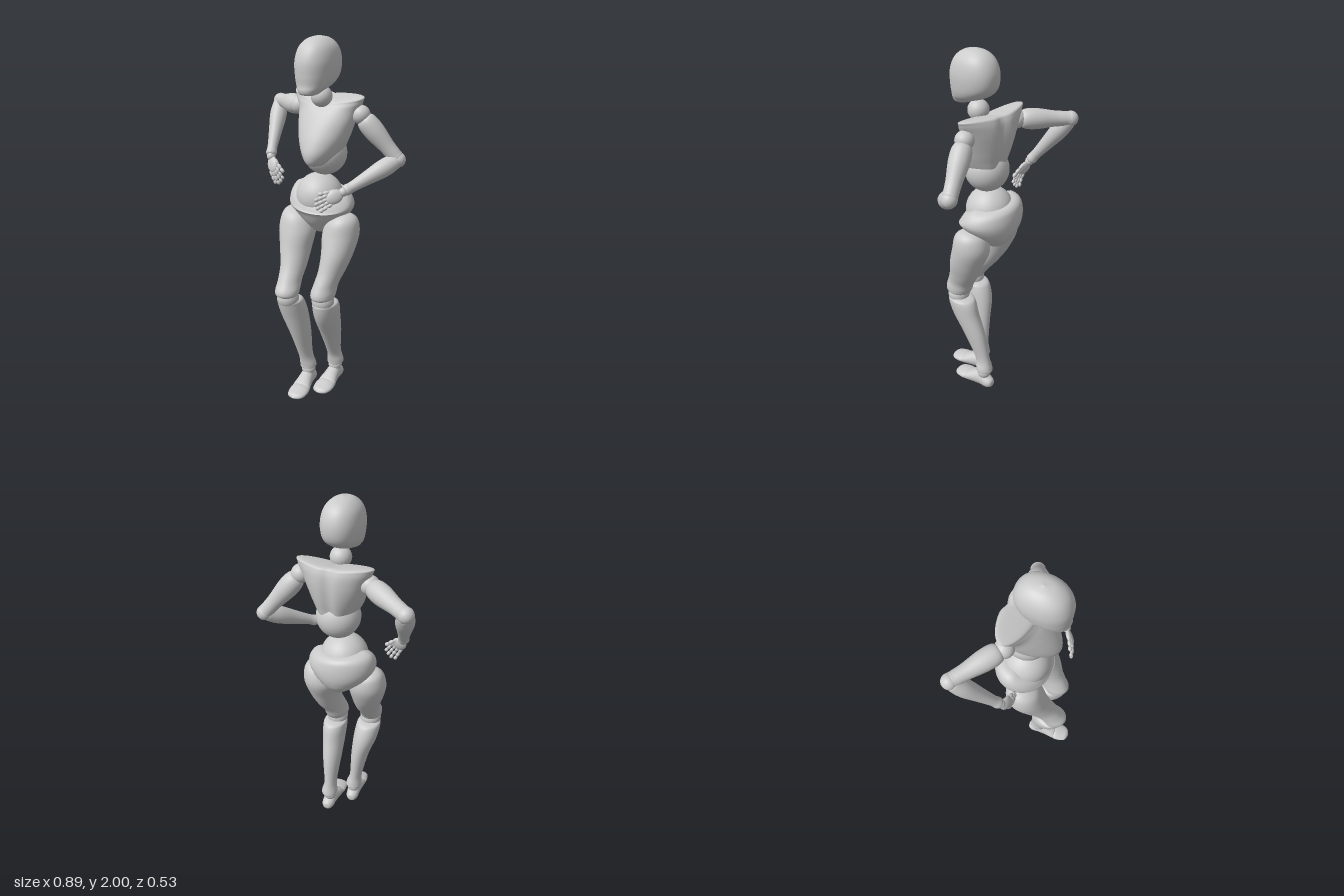
import * as THREE from 'three';

const material = new THREE.MeshStandardMaterial({ color: 0xcccccc });
const vec = (p) => new THREE.Vector3(...p);

// Smooth closed skin through elliptical sections [cx, y, cz, rx, rz], listed upward.
// power > 2 squares the ellipse; rule(point) may move each vertex.
function loft(sections, { power = 2, rule, sides = 36 } = {}) {
  const centres = new THREE.CatmullRomCurve3(sections.map(([x, y, z]) => vec([x, y, z])), false, 'catmullrom', 0.5);
  const radii = new THREE.CatmullRomCurve3(sections.map((s) => vec([s[3], s[4], 0])), false, 'catmullrom', 0.5);
  const rows = (sections.length - 1) * 6;
  const positions = [], index = [];
  const bend = (v) => Math.sign(v) * Math.abs(v) ** (2 / power);
  for (let i = 0; i <= rows; i++) {
    const c = centres.getPoint(i / rows), r = radii.getPoint(i / rows);
    for (let j = 0; j < sides; j++) {
      const a = (j / sides) * Math.PI * 2;
      const p = vec([c.x + Math.max(0, r.x) * bend(Math.cos(a)), c.y, c.z + Math.max(0, r.y) * bend(Math.sin(a))]);
      if (rule) rule(p);
      positions.push(p.x, p.y, p.z);
      if (i < rows) {
        const k = i * sides, n = (j + 1) % sides;
        index.push(k + j, k + sides + j, k + n, k + n, k + sides + j, k + sides + n);
      }
    }
  }
  const g = new THREE.BufferGeometry();
  g.setAttribute('position', new THREE.Float32BufferAttribute(positions, 3));
  g.setIndex(index);
  g.computeVertexNormals();
  return g;
}

function add(parent, name, geometry) {
  const mesh = new THREE.Mesh(geometry, material);
  mesh.name = name;
  parent.add(mesh);
  return mesh;
}

function ball(parent, name, centre, radius, scale = [1, 1, 1], detail = 28) {
  const mesh = add(parent, name, new THREE.SphereGeometry(radius, detail, Math.round(detail * 0.7)));
  mesh.position.set(...centre);
  mesh.scale.set(...scale);
  return mesh;
}

// Round limb from a to b; profile holds [fraction of length, radius].
function limb(parent, name, a, b, profile) {
  const start = vec(a), dir = vec(b).sub(start), length = dir.length();
  const mesh = add(parent, name, loft(profile.map(([t, r]) => [0, t * length, 0, r, r]), { sides: 28 }));
  mesh.position.copy(start);
  mesh.quaternion.setFromUnitVectors(vec([0, 1, 0]), dir.normalize());
}

const upperArmProfile = [[0.06, 0], [0.08, 0.036], [0.17, 0.052], [0.38, 0.054], [0.7, 0.042], [0.9, 0.039], [0.96, 0.036], [0.99, 0]];
const forearmProfile = [[0, 0], [0.02, 0.034], [0.12, 0.044], [0.3, 0.047], [0.6, 0.036], [0.85, 0.028], [0.95, 0.03], [0.99, 0.024], [1, 0]];

// Local frame of a hand: x to the thumb side, y along the fingers, z = curl * palm side.
function addHand(parent, side, wrist, fingersTo, thumbTo, curl) {
  const hand = new THREE.Group();
  hand.name = side + 'Hand';
  const y = vec(fingersTo).normalize();
  const x = vec(thumbTo).addScaledVector(y, -vec(thumbTo).dot(y)).normalize();
  hand.quaternion.setFromRotationMatrix(new THREE.Matrix4().makeBasis(x, y, x.clone().cross(y)));
  hand.position.set(...wrist);
  parent.add(hand);
  ball(hand, 'wrist', [0, 0.005, 0], 0.024);
  ball(hand, 'palm', [0, 0.055, 0], 1, [0.036, 0.048, 0.017]);
  // A chain of rounded finger joints that bends toward the palm
  const finger = (name, px, py, lean, lengths, r, bendStep) => {
    let p = vec([px, py, 0]), bend = 0.1;
    lengths.forEach((l) => {
      bend += bendStep;
      const d = vec([Math.sin(lean), Math.cos(lean) * Math.cos(bend), curl * Math.sin(bend)]).normalize();
      const joint = ball(hand, name, p.clone().addScaledVector(d, l / 2).toArray(), 1, [r, l * 0.6, r], 14);
      joint.quaternion.setFromUnitVectors(vec([0, 1, 0]), d);
      p.addScaledVector(d, l);
    });
  };
  [0.9, 1, 1.05, 0.95].forEach((s, i) => {
    const k = 1.5 - i;
    finger('finger', k * 0.017, 0.088 - Math.abs(k) * 0.003, k * 0.06, [0.034 * s, 0.028 * s, 0.022 * s], 0.0095, 0.16);
  });
  finger('thumb', 0.022, 0.03, 0.3, [0.04, 0.032, 0.026], 0.011, 0.05);
}

function addArm(parent, side, shoulder, elbow, wrist, fingersTo, thumbTo, curl) {
  const arm = new THREE.Group();
  arm.name = side + 'Arm';
  parent.add(arm);
  ball(arm, 'shoulderJoint', shoulder, 0.05);
  limb(arm, 'upperArm', shoulder, elbow, upperArmProfile);
  ball(arm, 'elbowJoint', elbow, 0.041);
  limb(arm, 'forearm', elbow, wrist, forearmProfile);
  addHand(arm, side, wrist, fingersTo, thumbTo, curl);
}

function addLeg(parent, side, thigh, knee, shin, ankle, footTurn) {
  const leg = new THREE.Group();
  leg.name = side + 'Leg';
  parent.add(leg);
  add(leg, 'thigh', loft(thigh));
  ball(leg, 'kneeJoint', knee, 0.062);
  add(leg, 'shin', loft(shin));
  ball(leg, 'ankleJoint', ankle, 0.04);
  // Foot sections run heel to toe: [x, distance, -height, half width, half height]
  const foot = new THREE.Group();
  foot.name = side + 'Foot';
  foot.position.set(ankle[0], 0, ankle[2]);
  foot.rotation.y = footTurn;
  leg.add(foot);
  const flatSole = { rule: (p) => { p.z = Math.min(p.z, -0.004); } };
  add(foot, 'instep', loft([
    [0, -0.066, -0.035, 0, 0], [0, -0.06, -0.035, 0.022, 0.022], [0, -0.035, -0.036, 0.036, 0.036],
    [0, 0.01, -0.045, 0.039, 0.05], [0.002, 0.06, -0.036, 0.045, 0.043],
    [0.004, 0.105, -0.026, 0.053, 0.032], [0.004, 0.115, -0.024, 0.045, 0.024], [0.004, 0.118, -0.024, 0, 0],
  ], flatSole).rotateX(Math.PI / 2));
  add(foot, 'toes', loft([
    [0.004, 0.105, -0.022, 0, 0], [0.004, 0.108, -0.022, 0.045, 0.022], [0.004, 0.125, -0.022, 0.056, 0.027],
    [0.004, 0.165, -0.018, 0.053, 0.022], [0.002, 0.195, -0.015, 0.038, 0.015], [0.002, 0.21, -0.012, 0, 0],
  ], flatSole).rotateX(Math.PI / 2));
}

export function createModel() {
  const model = new THREE.Group();
  model.name = 'posedMannequin';

  // Head: round skull running forward into a narrow chin
  add(model, 'head', loft([
    [0.043, 1.712, 0.125, 0, 0], [0.043, 1.718, 0.122, 0.042, 0.04], [0.043, 1.738, 0.1, 0.062, 0.073],
    [0.043, 1.765, 0.063, 0.083, 0.108], [0.043, 1.81, 0.04, 0.097, 0.135], [0.043, 1.88, 0.034, 0.102, 0.14],
    [0.043, 1.945, 0.032, 0.087, 0.116], [0.043, 1.985, 0.03, 0.05, 0.068], [0.043, 2, 0.03, 0, 0],
  ], { power: 2.2, sides: 48 }));
  ball(model, 'neck', [0.045, 1.695, 0.008], 0.056);

  // Chest shell: V-shaped, raised shoulder tips, lower neckline, groove along the spine
  add(model, 'chest', loft([
    [0.045, 1.335, 0.045, 0, 0], [0.045, 1.348, 0.035, 0.045, 0.08], [0.045, 1.4, 0, 0.092, 0.137],
    [0.042, 1.47, -0.02, 0.13, 0.139], [0.04, 1.55, -0.045, 0.157, 0.126], [0.04, 1.62, -0.067, 0.177, 0.106],
    [0.037, 1.66, -0.075, 0.203, 0.088], [0.037, 1.68, -0.075, 0.19, 0.068], [0.037, 1.685, -0.075, 0, 0],
  ], {
    sides: 56,
    rule: (p) => {
      const top = THREE.MathUtils.smoothstep(p.y, 1.6, 1.68), dx = p.x - 0.037;
      const back = THREE.MathUtils.smoothstep(-p.z, 0.08, 0.15);
      p.y += top * (0.12 * Math.abs(dx) - 0.04 * dx - 0.2 * (p.z + 0.075));
      p.z += 0.018 * back * Math.exp(-((dx / 0.03) ** 2));
    },
  }));
  ball(model, 'waist', [0.035, 1.388, -0.043], 0.118);
  ball(model, 'abdomen', [0.005, 1.145, -0.035], 0.13);

  // Pelvis shell: tilted sideways, open dip in front of the abdomen
  add(model, 'pelvis', loft([
    [0.01, 0.932, -0.06, 0, 0], [0.01, 0.945, -0.06, 0.034, 0.055], [0.01, 1, -0.062, 0.1, 0.112],
    [0.012, 1.05, -0.058, 0.152, 0.14], [0.01, 1.1, -0.05, 0.184, 0.155], [0.01, 1.15, -0.05, 0.183, 0.15],
    [0.01, 1.185, -0.05, 0.158, 0.136], [0.01, 1.2, -0.05, 0.11, 0.1], [0.01, 1.2, -0.05, 0, 0],
  ], {
    sides: 48,
    rule: (p) => {
      const top = THREE.MathUtils.smoothstep(p.y, 1.06, 1.18);
      p.y -= top * (0.14 * p.x + 0.07 * Math.max(0, (p.z + 0.05) / 0.15));
    },
  }));

  addArm(model, 'left', [0.225, 1.605, -0.085], [0.405, 1.375, -0.17], [0.235, 1.235, 0.08],
    [-0.11, -0.085, 0.13], [-0.45, 0.85, 0.1], -1);
  addArm(model, 'right', [-0.15, 1.62, -0.07], [-0.4, 1.6, -0.225], [-0.32, 1.325, -0.02],
    [0.085, -0.14, 0.06], [0.8, 0.5, 0], 1);

  addLeg(model, 'left', [
    [0.12, 0.595, 0.105, 0, 0], [0.12, 0.61, 0.103, 0.055, 0.066], [0.12, 0.64, 0.095, 0.065, 0.083],
    [0.125, 0.69, 0.074, 0.062, 0.084], [0.137, 0.76, 0.035, 0.069, 0.092], [0.147, 0.85, 0, 0.084, 0.102],
    [0.145, 0.95, -0.035, 0.1, 0.106], [0.155, 1.025, -0.04, 0.083, 0.088], [0.165, 1.06, -0.04, 0.045, 0.05],
    [0.168, 1.07, -0.04, 0, 0],
  ], [0.12, 0.59, 0.1], [
    [0.09, 0.105, -0.08, 0, 0], [0.09, 0.112, -0.08, 0.042, 0.046], [0.09, 0.135, -0.078, 0.046, 0.05],
    [0.09, 0.2, -0.062, 0.036, 0.05], [0.102, 0.35, -0.01, 0.052, 0.075], [0.115, 0.47, 0.045, 0.063, 0.09],
    [0.12, 0.55, 0.07, 0.068, 0.09], [0.12, 0.578, 0.08, 0.058, 0.072], [0.12, 0.585, 0.08, 0, 0],
  ], [0.09, 0.095, -0.077], 0.08);

  addLeg(model, 'right', [
    [-0.066, 0.595, 0.18, 0, 0], [-0.066, 0.61, 0.18, 0.056, 0.06], [-0.067, 0.64, 0.173, 0.065, 0.076],
    [-0.074, 0.69, 0.138, 0.062, 0.079], [-0.083, 0.76, 0.09, 0.07, 0.087], [-0.1, 0.85, 0.045, 0.087, 0.098],
    [-0.112, 0.95, 0.012, 0.104, 0.104], [-0.122, 1.025, 0, 0.085, 0.088], [-0.135, 1.06, -0.005, 0.048, 0.05],
    [-0.138, 1.072, -0.005, 0, 0],
  ], [-0.065, 0.59, 0.175], [
    [-0.015, 0.105, 0.05, 0, 0], [-0.015, 0.112, 0.05, 0.042, 0.046], [-0.016, 0.135, 0.053, 0.045, 0.049],
    [-0.024, 0.2, 0.065, 0.036, 0.05], [-0.037, 0.35, 0.093, 0.051, 0.073], [-0.057, 0.47, 0.118, 0.068, 0.086],
    [-0.065, 0.55, 0.143, 0.07, 0.084], [-0.065, 0.578, 0.157, 0.058, 0.068], [-0.065, 0.585, 0.157, 0, 0],
  ], [-0.012, 0.095, 0.053], 0.17);

  return model;
}
